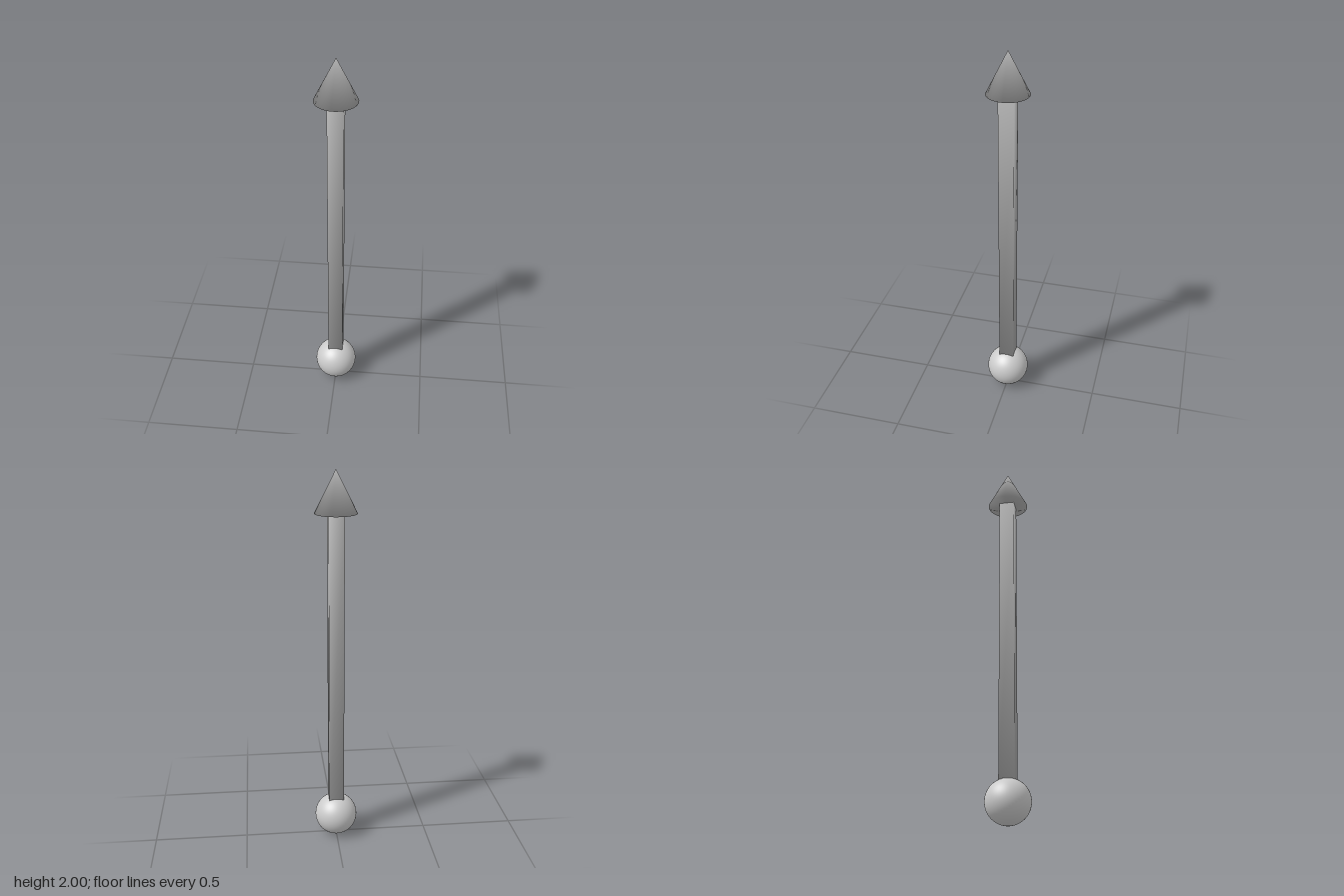
import * as THREE from 'three';
import { mergeVertices } from 'three/addons/utils/BufferGeometryUtils.js';

// Weld all corners and give each the plain average of its faces' normals,
// large and small faces counting alike
function smooth(geometry) {
  geometry.deleteAttribute('normal');
  geometry.deleteAttribute('uv');
  const welded = mergeVertices(geometry, 1e-4);
  const { position } = welded.attributes;
  const normals = Array.from({ length: position.count }, () => new THREE.Vector3());
  const triangle = new THREE.Triangle();
  const faceNormal = new THREE.Vector3();
  for (let i = 0; i < welded.index.count; i += 3) {
    const corners = [0, 1, 2].map((k) => welded.index.getX(i + k));
    triangle.setFromAttributeAndIndices(position, ...corners);
    triangle.getNormal(faceNormal);
    corners.forEach((c) => normals[c].add(faceNormal));
  }
  const values = normals.flatMap((n) => n.normalize().toArray());
  welded.setAttribute('normal', new THREE.Float32BufferAttribute(values, 3));
  return welded;
}

export function createModel() {
  const group = new THREE.Group();
  const paleGrey = new THREE.MeshStandardMaterial({ color: 0xcccccc });
  const midGrey = new THREE.MeshStandardMaterial({ color: 0xaaaaaa });

  function add(name, geometry, material, y) {
    const mesh = new THREE.Mesh(geometry, material);
    mesh.name = name;
    mesh.position.y = y;
    group.add(mesh);
  }

  // Round ball at the foot
  const ballRadius = 0.114;
  add('ball', new THREE.SphereGeometry(ballRadius, 48, 32), paleGrey, ballRadius);

  // Square shaft, sunk into the ball and meeting the tip
  const shaftBottom = 0.19, shaftTop = 1.79;
  add('shaft', smooth(new THREE.BoxGeometry(0.08, shaftTop - shaftBottom, 0.08)), midGrey,
    (shaftBottom + shaftTop) / 2);

  // Closed conical arrow tip
  const tipBase = 1.786;
  add('tip', smooth(new THREE.ConeGeometry(0.108, 2 - tipBase, 48)), midGrey, (tipBase + 2) / 2);

  return group;
}
